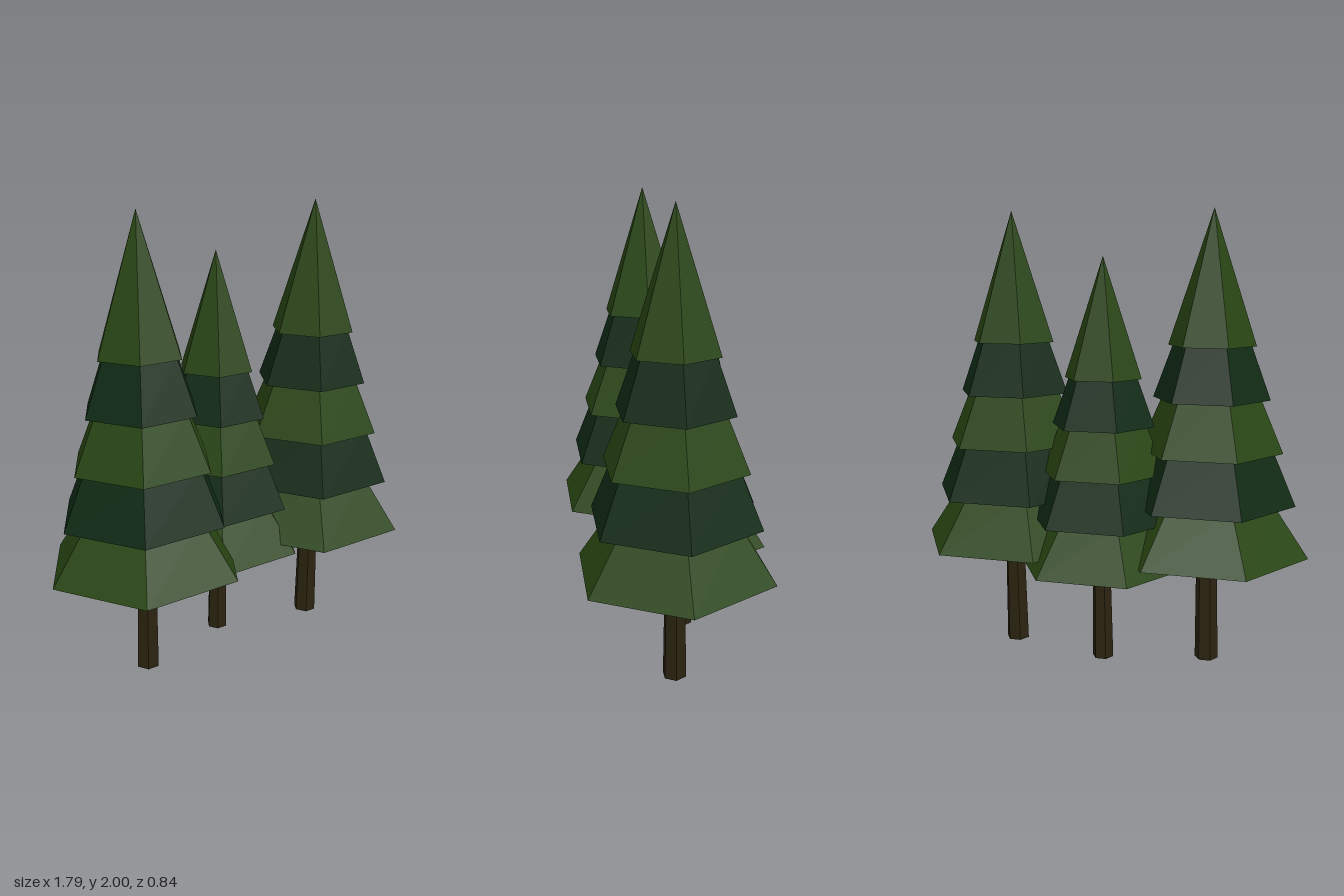
import * as THREE from 'three';

const leafGreen = new THREE.MeshStandardMaterial({ color: 0x284512 });
leafGreen.name = 'leaf green';
const deepGreen = new THREE.MeshStandardMaterial({ color: 0x0f2a14 });
deepGreen.name = 'deep green';
const bark = new THREE.MeshStandardMaterial({ color: 0x2b2310 });
bark.name = 'bark brown';

// Faceted six-sided frustum standing on y = 0, with corners on the x axis
function hexFrustum(topRadius, bottomRadius, height) {
  const geometry = new THREE.CylinderGeometry(topRadius, bottomRadius, height, 6, 1, false, Math.PI / 6)
    .translate(0, height / 2, 0)
    .toNonIndexed();
  geometry.computeVertexNormals();
  return geometry;
}

// Foliage tiers from bottom to top: base height, base radius, inward slope
const tiers = [
  [0.5, 0.44, 0.68],
  [0.73, 0.378, 0.43],
  [0.96, 0.318, 0.43],
  [1.19, 0.258, 0.37],
  [1.42, 0.193, 0],
];
const treeHeight = 2;
const overlap = 0.02;

function createTree(name, x, z, scale) {
  const tree = new THREE.Group();
  tree.name = name;

  // Slightly leaning tapered trunk
  const trunk = new THREE.Mesh(hexFrustum(0.045, 0.053, 0.54), bark);
  trunk.name = 'trunk';
  trunk.position.y = 0.001;
  trunk.rotation.z = -0.016;
  tree.add(trunk);

  // Alternating skirts of foliage, ending in a pointed crown
  tiers.forEach(([y, radius, slope], i) => {
    const isCrown = i === tiers.length - 1;
    const height = isCrown ? treeHeight - y : tiers[i + 1][0] - y + overlap;
    const topRadius = isCrown ? 0 : radius - slope * height;
    const tier = new THREE.Mesh(hexFrustum(topRadius, radius, height), i % 2 ? deepGreen : leafGreen);
    tier.name = isCrown ? 'crown' : `foliageTier${i + 1}`;
    tier.position.y = y;
    tree.add(tier);
  });

  tree.position.set(x, 0, z);
  tree.scale.setScalar(scale);
  return tree;
}

export function createModel() {
  const model = new THREE.Group();
  model.name = 'pineTrees';
  model.add(
    createTree('leftTree', 0.457, 0.036, 1),
    createTree('rightTree', -0.457, 0.036, 1),
    createTree('middleTree', 0, -0.077, 0.9),
  );
  return model;
}
